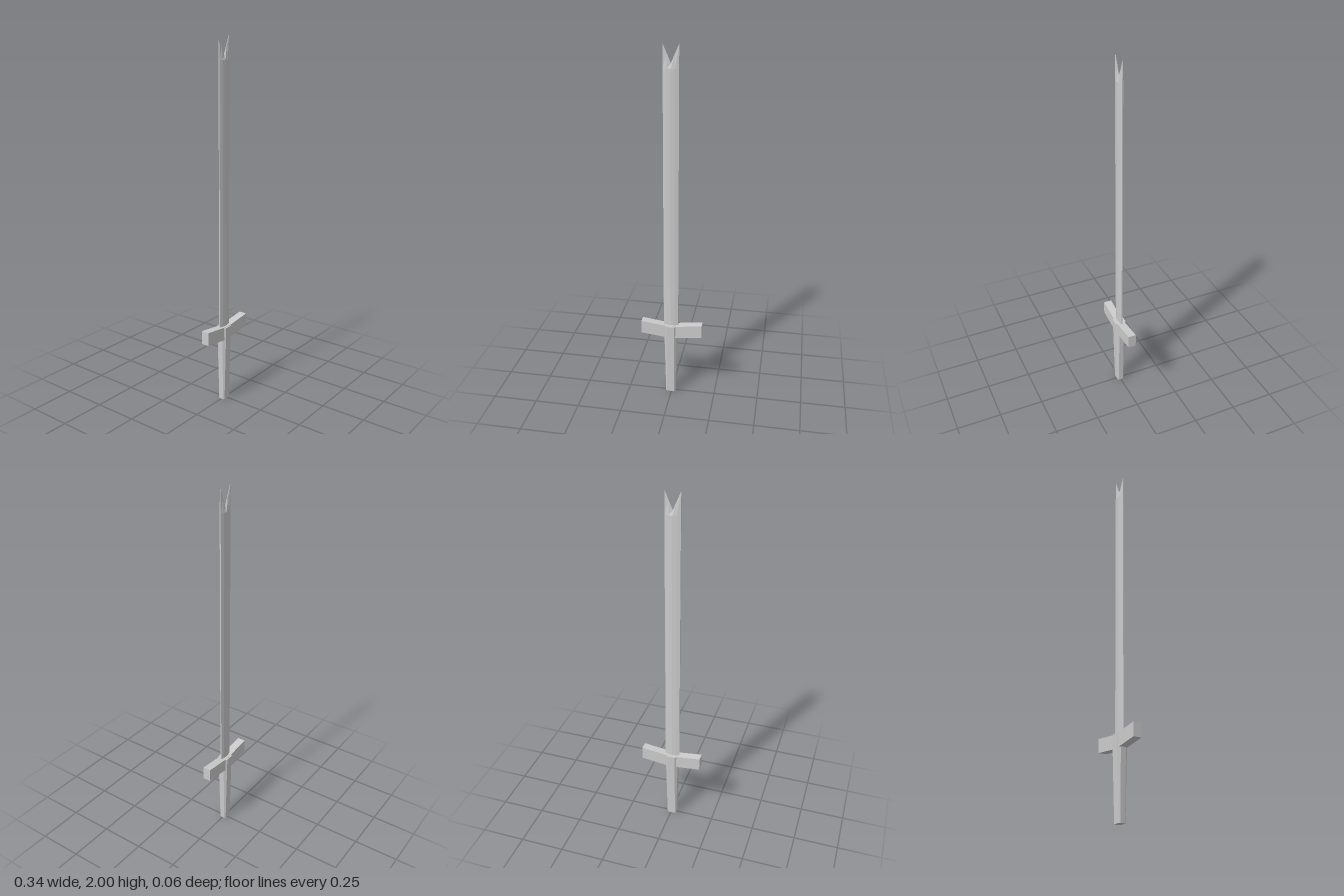
import * as THREE from 'three';

const material = new THREE.MeshStandardMaterial({ color: 0xcccccc, flatShading: true });
const AXIS = -0.005; // blade and grip sit slightly off centre

// Ring around the y axis from [x, half depth] columns: front left to right, then back.
function ring(columns, heightAt) {
  const front = columns.map(([x, z]) => [x + AXIS, heightAt(x), z]);
  const back = columns.map(([x, z]) => [x + AXIS, heightAt(x), -z]).reverse();
  return [...front, ...back];
}

// Skin a stack of rings and close both ends with strips between front and back.
function loft(rings) {
  const pos = [];
  const quad = (a, b, c, d) => pos.push(...a, ...b, ...c, ...a, ...c, ...d);
  const n = rings[0].length;
  for (let k = 0; k < rings.length - 1; k++) {
    const lo = rings[k], hi = rings[k + 1];
    for (let i = 0; i < n; i++) {
      const j = (i + 1) % n;
      quad(lo[i], lo[j], hi[j], hi[i]);
    }
  }
  const bottom = rings[0], top = rings[rings.length - 1];
  for (let i = 0; i < n / 2 - 1; i++) {
    quad(top[i], top[i + 1], top[n - 2 - i], top[n - 1 - i]);
    quad(bottom[n - 1 - i], bottom[n - 2 - i], bottom[i + 1], bottom[i]);
  }
  const geometry = new THREE.BufferGeometry();
  geometry.setAttribute('position', new THREE.Float32BufferAttribute(pos, 3));
  geometry.computeVertexNormals();
  return geometry;
}

export function createModel() {
  const group = new THREE.Group();
  const add = (name, geometry) => {
    const mesh = new THREE.Mesh(geometry, material);
    mesh.name = name;
    group.add(mesh);
  };

  // Blade: lens section, thinning into a forked tip
  const lens = [[-0.041, 0.003], [-0.02, 0.008], [0, 0.01], [0.02, 0.008], [0.041, 0.003]];
  const thin = lens.map(([x]) => [x, 0.001]);
  add('blade', loft([
    ring(lens, () => 0.43),
    ring(lens, () => 1.88),
    ring(thin, (x) => 1.905 + Math.abs(x) * 2.317),
  ]));

  // Grip: tapered octagonal bar
  const octagon = (w, flat, zSide, zFront) => [[-w, zSide], [-flat, zFront], [flat, zFront], [w, zSide]];
  add('grip', loft([
    ring(octagon(0.027, 0.021, 0.013, 0.019), () => 0),
    ring(octagon(0.037, 0.021, 0.015, 0.031), () => 0.44),
  ]));

  // Guard: shallow V bar with raised ends
  const outline = new THREE.Shape([
    [-0.172, 0.385], [-0.03, 0.368], [0.03, 0.368], [0.172, 0.385],
    [0.172, 0.46], [0.03, 0.442], [-0.03, 0.442], [-0.172, 0.46],
  ].map(([x, y]) => new THREE.Vector2(x, y)));
  const guard = new THREE.ExtrudeGeometry(outline, { depth: 0.045, bevelEnabled: false });
  guard.translate(0, 0, -0.0225);
  add('guard', guard);

  return group;
}
